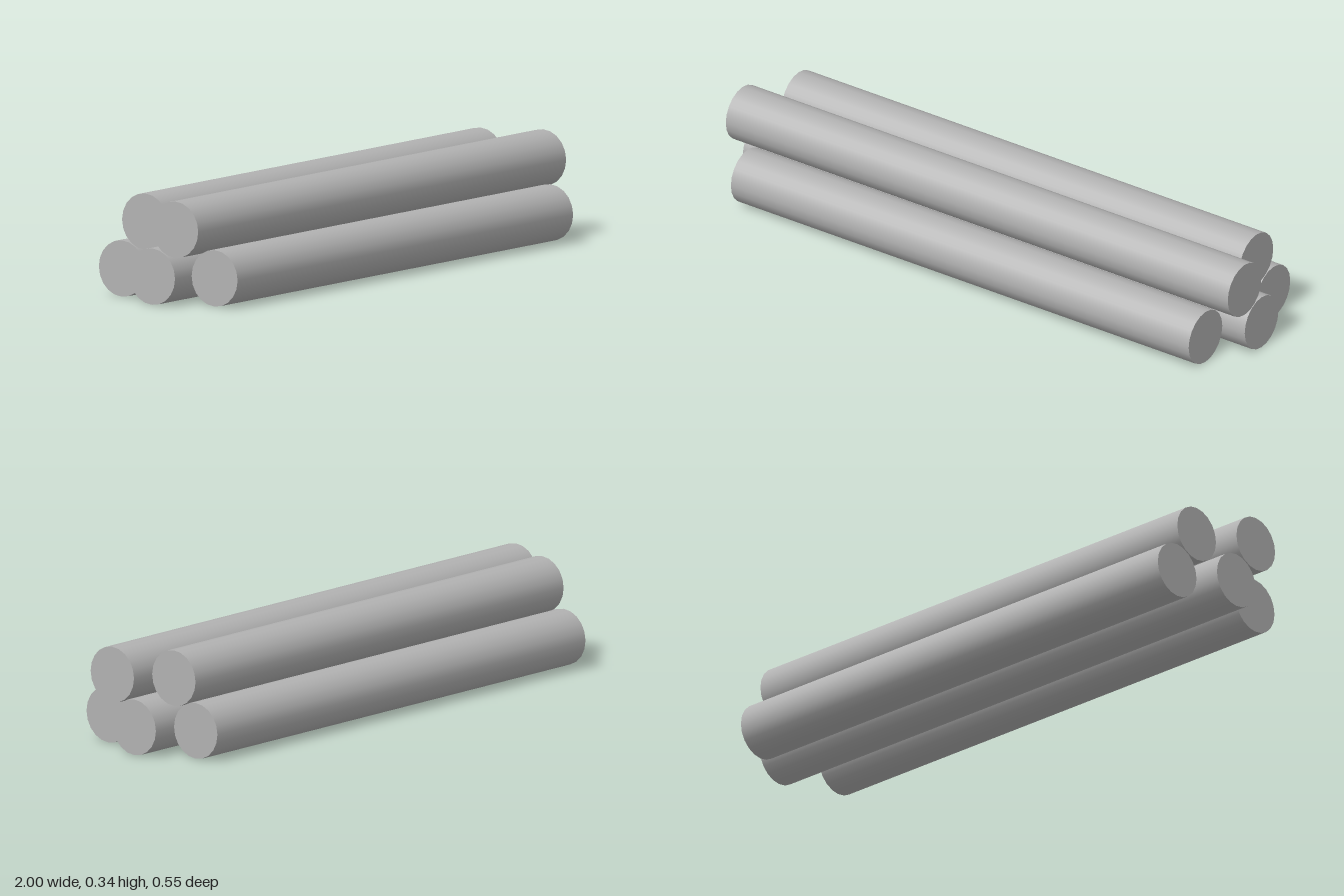
import * as THREE from 'three';

const RADIUS = 0.0917;

export function createModel() {
  const model = new THREE.Group();
  model.name = 'logStack';
  const grey = new THREE.MeshStandardMaterial({ color: 0xb2b2b2 });
  grey.name = 'plain grey';

  // One log lying along x
  const addLog = (name, y, z, length) => {
    const geometry = new THREE.CylinderGeometry(RADIUS, RADIUS, length, 20);
    geometry.rotateZ(Math.PI / 2);
    const log = new THREE.Mesh(geometry, grey);
    log.name = name;
    log.position.set(0, y, z);
    model.add(log);
  };

  // Bottom row of three
  addLog('bottomFrontLog', RADIUS, 0.185, 1.824);
  addLog('bottomMiddleLog', RADIUS, 0, 2);
  addLog('bottomBackLog', RADIUS, -0.185, 1.824);

  // Top row of two, resting in the gaps
  addLog('topFrontLog', 0.252, 0.0925, 2);
  addLog('topBackLog', 0.252, -0.0925, 1.824);

  return model;
}
